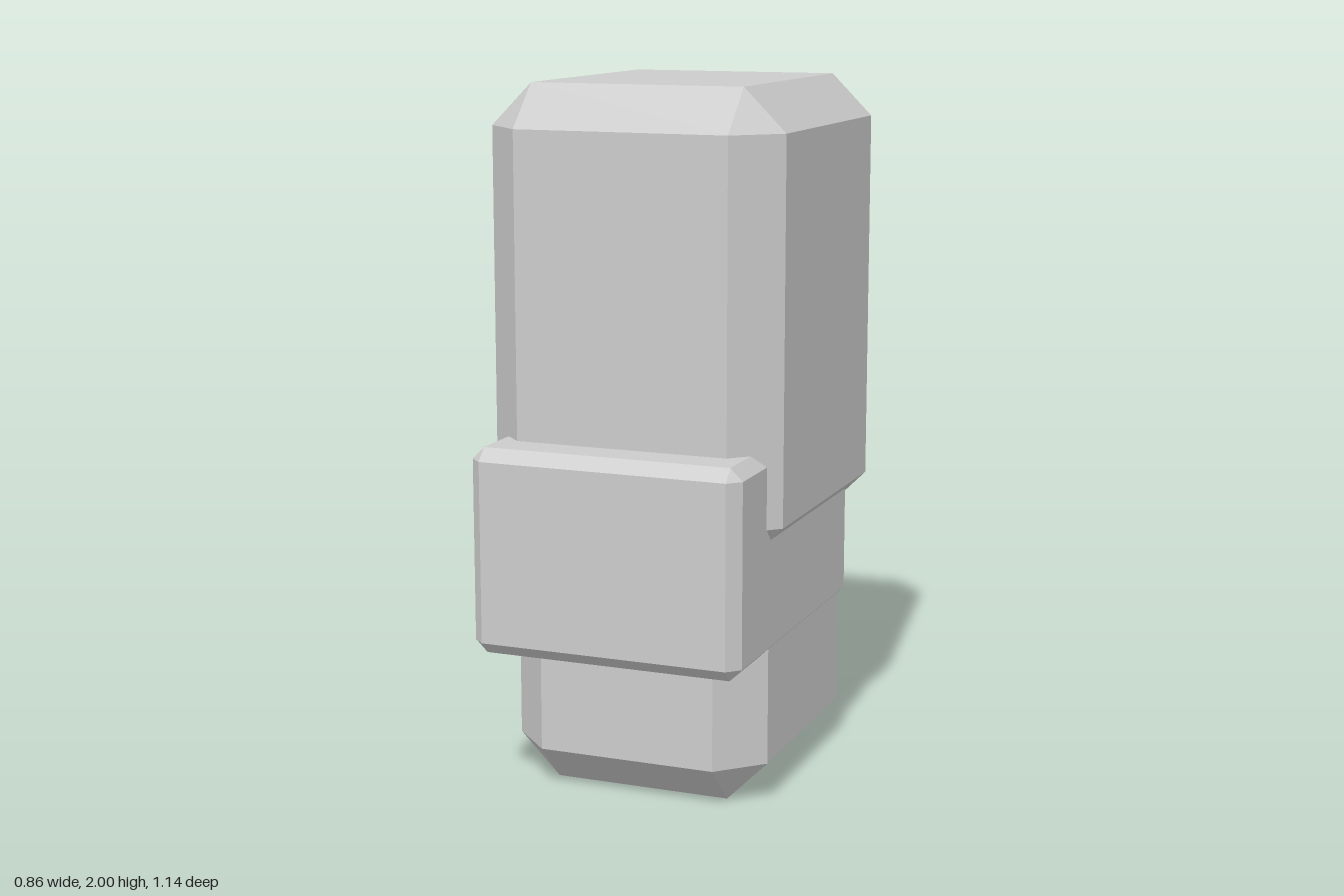
import * as THREE from 'three';
import { ConvexGeometry } from 'three/addons/geometries/ConvexGeometry.js';

const material = new THREE.MeshStandardMaterial({ color: 0xcccccc, flatShading: true });

// Box between min and max with every edge chamfered by c (triangular corners)
function chamferedBox(name, min, max, c) {
  const half = max.map((v, i) => (v - min[i]) / 2);
  const points = [];
  for (const sx of [-1, 1]) for (const sy of [-1, 1]) for (const sz of [-1, 1]) {
    for (let axis = 0; axis < 3; axis++) {
      const [x, y, z] = half.map((h, i) => (i === axis ? h : h - c));
      points.push(new THREE.Vector3(sx * x, sy * y, sz * z));
    }
  }
  const mesh = new THREE.Mesh(new ConvexGeometry(points), material);
  mesh.name = name;
  mesh.position.set(...max.map((v, i) => (v + min[i]) / 2));
  return mesh;
}

export function createModel() {
  const group = new THREE.Group();
  group.name = 'stackedBlocks';
  group.add(
    // Tall block on top
    chamferedBox('upperBlock', [-0.43, 0.69, -0.57], [0.43, 2, 0.43], 0.12),
    // Finely chamfered block that juts out at the front
    chamferedBox('middleBlock', [-0.395, 0.435, -0.395], [0.395, 1.02, 0.57], 0.035),
    // Base block, its top buried in the upper block
    chamferedBox('lowerBlock', [-0.38, 0, -0.46], [0.38, 0.98, 0.4], 0.12)
  );
  return group;
}
